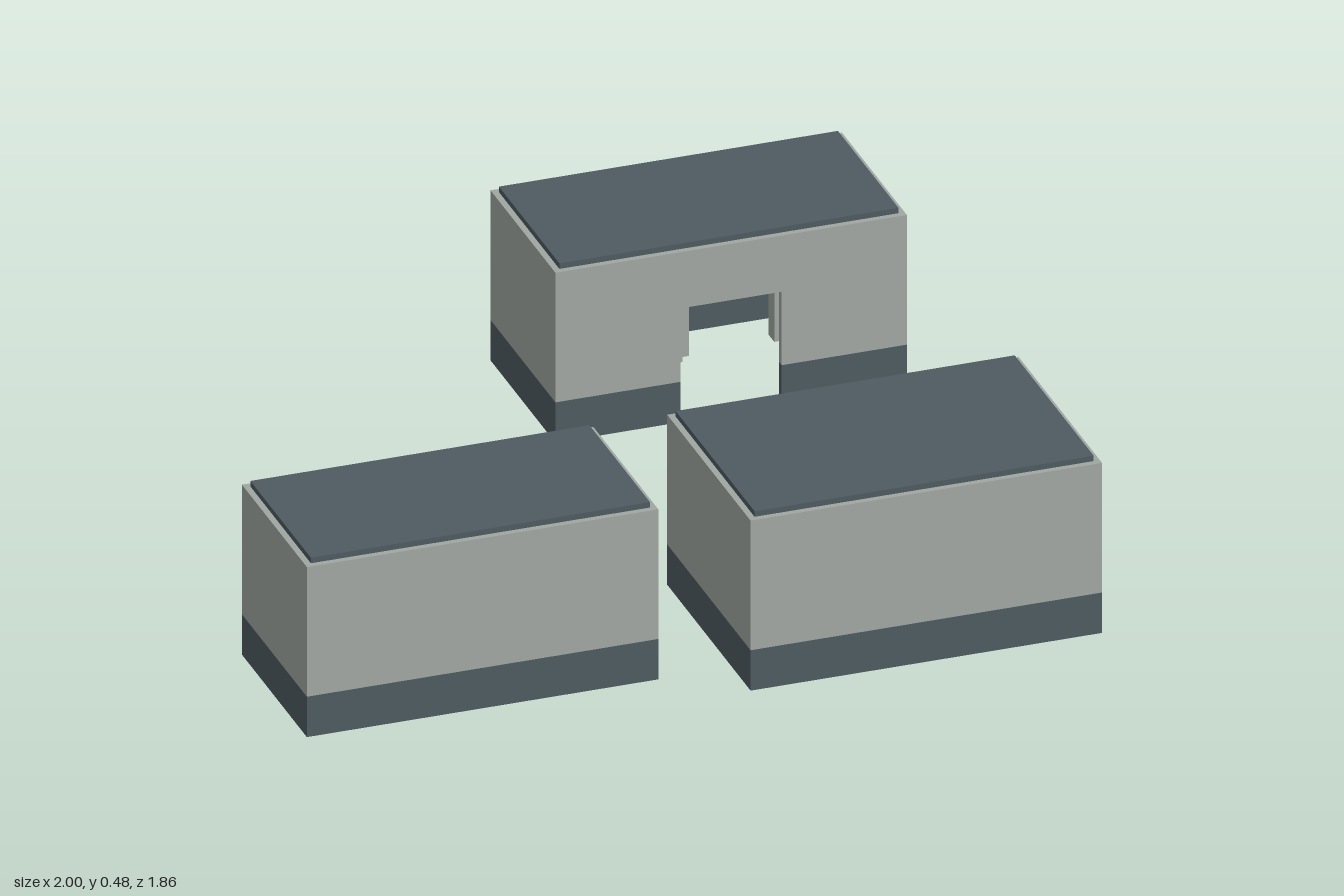
import * as THREE from 'three';

const WALL = 0.018, PLINTH_TOP = 0.11, DOOR_TOP = 0.31, WALL_TOP = 0.463, ROOF_TOP = 0.478;

const stone = new THREE.MeshStandardMaterial({ color: 0xa0a6a2 });
stone.name = 'paleGreyWall';
const slate = new THREE.MeshStandardMaterial({ color: 0x4e5b61 });
slate.name = 'darkSlate';

// Extrude a plan outline upward from y0 to y1 (the plan's +y side becomes -z)
function rise(name, shape, y0, y1, material) {
  const geometry = new THREE.ExtrudeGeometry(shape, { depth: y1 - y0, bevelEnabled: false });
  geometry.rotateX(-Math.PI / 2);
  geometry.translate(0, y0, 0);
  const mesh = new THREE.Mesh(geometry, material);
  mesh.name = name;
  return mesh;
}

function polygon(points) {
  return new THREE.Shape(points.map(([x, y]) => new THREE.Vector2(x, y)));
}

function rectangle(w, d) {
  return polygon([[-w, -d], [w, -d], [w, d], [-w, d]]);
}

// Plan of the walls with a gap for the doorway
function openPlan(w, d, door) {
  const iw = w - WALL, id = d - WALL;
  return polygon([
    [-door, d], [-w, d], [-w, -d], [w, -d], [w, d], [door, d],
    [door, id], [iw, id], [iw, -id], [-iw, -id], [-iw, id], [-door, id],
  ]);
}

// Closed plan of the walls above the doorway
function closedPlan(w, d) {
  const shape = rectangle(w, d);
  shape.holes.push(rectangle(w - WALL, d - WALL));
  return shape;
}

// Hollow flat-roofed building with its door toward -z
function building(name, width, depth) {
  const group = new THREE.Group();
  group.name = name;
  const w = width / 2, d = depth / 2;
  const plan = openPlan(w, d, 0.13);
  group.add(
    rise('plinth', plan, 0, PLINTH_TOP, slate),
    rise('lowerWalls', plan, PLINTH_TOP, DOOR_TOP, stone),
    rise('upperWalls', closedPlan(w, d), DOOR_TOP, WALL_TOP, stone),
    rise('roof', rectangle(w - 0.016, d - 0.016), WALL_TOP, ROOF_TOP, slate),
  );
  return group;
}

// Cross-shaped inner pillar
function pillar(x, z) {
  const a = 0.045, b = 0.02;
  const cross = polygon([
    [-b, -a], [b, -a], [b, -b], [a, -b], [a, b], [b, b],
    [b, a], [-b, a], [-b, b], [-a, b], [-a, -b], [-b, -b],
  ]);
  const mesh = rise('innerPillar', cross, 0, WALL_TOP, stone);
  mesh.position.set(x, 0, z);
  return mesh;
}

export function createModel() {
  const model = new THREE.Group();
  model.name = 'courtyardBuildings';

  const rightFront = building('rightFrontBuilding', 0.905, 0.465);
  rightFront.position.set(-0.5475, 0, 0.5665);

  const leftFront = building('leftFrontBuilding', 0.905, 0.597);
  leftFront.position.set(0.5475, 0, 0.6325);

  // The rear building faces the others
  const rear = building('rearBuilding', 0.905, 0.465);
  rear.rotation.y = Math.PI;
  rear.position.set(0.5475, 0, -0.6985);

  model.add(rightFront, leftFront, rear);
  for (const x of [0.51, 0.82]) model.add(pillar(x, -0.81));
  return model;
}
